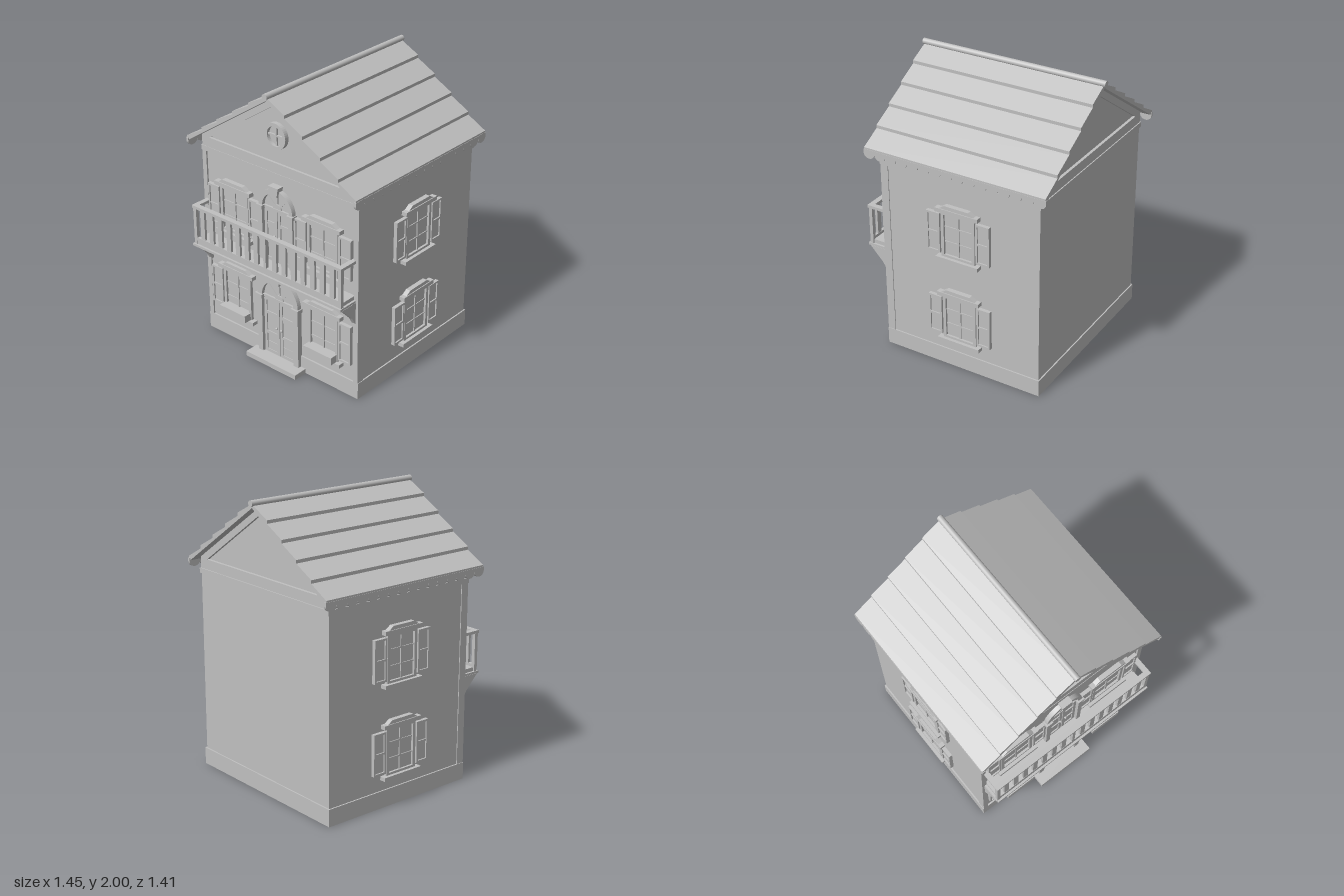
import * as THREE from 'three';

const stone = new THREE.MeshStandardMaterial({ color: 0xc0c0c0 });
stone.name = 'grey';

function add(parent, name, geo, x = 0, y = 0, z = 0) {
  const m = new THREE.Mesh(geo, stone);
  m.name = name;
  m.position.set(x, y, z);
  parent.add(m);
  return m;
}
// Box given by its min/max limits
function box(parent, name, x0, x1, y0, y1, z0, z1) {
  return add(parent, name, new THREE.BoxGeometry(x1 - x0, y1 - y0, z1 - z0),
    (x0 + x1) / 2, (y0 + y1) / 2, (z0 + z1) / 2);
}
const poly = pts => new THREE.Shape(pts.map(p => new THREE.Vector2(...p)));
const extrude = (shape, depth) =>
  new THREE.ExtrudeGeometry(shape, { depth, bevelEnabled: false, curveSegments: 20 });
function group(parent, name, x = 0, y = 0, z = 0, ry = 0) {
  const g = new THREE.Group();
  g.name = name;
  g.position.set(x, y, z);
  g.rotation.y = ry;
  parent.add(g);
  return g;
}
// Rectangular frame made of four bars
function frame(g, name, x0, x1, y0, y1, w, depth) {
  const s = poly([[x0, y0], [x1, y0], [x1, y1], [x0, y1]]);
  s.holes.push(poly([[x0 + w, y0 + w], [x0 + w, y1 - w], [x1 - w, y1 - w], [x1 - w, y0 + w]]));
  add(g, name, extrude(s, depth));
}

// Window facing local +z, origin at the wall, y = 0 at the sill underside
function windowUnit(parent, x, y, z, ry, shutterSides, planter) {
  const g = group(parent, 'window', x, y, z, ry);
  box(g, 'glass', -0.125, 0.125, 0.02, 0.355, -0.01, 0.006);
  frame(g, 'windowFrame', -0.127, 0.127, 0.02, 0.357, 0.022, 0.022);
  box(g, 'mullion', -0.006, 0.006, 0.03, 0.35, 0, 0.014);
  for (const t of [0.135, 0.245]) box(g, 'glazingBar', -0.12, 0.12, t - 0.005, t + 0.005, 0, 0.012);
  box(g, 'sill', -0.16, 0.16, 0, 0.026, -0.01, 0.045);
  box(g, 'lintel', -0.16, 0.16, 0.355, 0.383, -0.01, 0.04);
  add(g, 'windowPediment', extrude(poly([[-0.128, 0.383], [0.128, 0.383], [0.09, 0.408], [-0.09, 0.408]]), 0.034));
  for (const s of shutterSides) {
    const sh = group(g, 'shutter', s * 0.186, 0.046);
    box(sh, 'shutterPanel', -0.05, 0.05, 0, 0.29, -0.01, 0.016);
    frame(sh, 'shutterFrame', -0.051, 0.051, 0, 0.29, 0.014, 0.026);
    box(sh, 'shutterRail', -0.04, 0.04, 0.138, 0.152, 0, 0.025);
  }
  if (planter) {
    box(g, 'planterBox', -0.12, 0.12, 0.026, 0.08, 0, 0.08);
  }
}

// Arched double door; r is the outer arch radius, w the surround width
function doorUnit(parent, y0, spring, r, w, z) {
  const g = group(parent, 'doorway', 0, 0, z);
  const ri = r - w;
  box(g, 'doorBack', -ri, ri, y0, spring, -0.01, 0.006);
  for (const s of [-1, 1]) {
    const leaf = group(g, 'doorLeaf', s * ri / 2);
    const h = ri / 2 - 0.003;
    frame(leaf, 'doorLeafFrame', -h, h, y0, spring - 0.015, 0.022, 0.014);
    for (const t of [0.35, 0.7]) {
      const yy = y0 + (spring - y0) * t;
      box(leaf, 'doorRail', -h, h, yy - 0.011, yy + 0.011, 0, 0.013);
    }
    const px = s * (ri + w / 2);
    box(g, 'doorPilaster', px - w / 2, px + w / 2, y0, spring - 0.01, -0.01, 0.035);
    box(g, 'pilasterCapital', px - w / 2 - 0.012, px + w / 2 + 0.008, spring - 0.022, spring + 0.004, -0.01, 0.045);
    add(g, 'doorKnob', new THREE.SphereGeometry(0.009, 12, 8), s * 0.022, y0 + (spring - y0) * 0.49, 0.022);
  }
  box(g, 'transom', -ri, ri, spring - 0.015, spring + 0.004, 0, 0.02);
  // Fanlight
  add(g, 'fanlight', new THREE.CircleGeometry(ri + 0.01, 32, 0, Math.PI), 0, spring, 0.006);
  add(g, 'fanlightHub', new THREE.CylinderGeometry(0.036, 0.036, 0.014, 24, 1, false, Math.PI / 2, Math.PI)
    .rotateX(Math.PI / 2), 0, spring, 0.008);
  for (let i = 1; i < 4; i++) {
    const bar = add(g, 'fanlightBar', new THREE.BoxGeometry(ri, 0.009, 0.012).translate(ri / 2, 0, 0), 0, spring, 0.006);
    bar.rotation.z = i * Math.PI / 4;
  }
  // Arch and keystone
  const arch = new THREE.Shape();
  arch.absarc(0, spring, r, 0, Math.PI, false);
  arch.absarc(0, spring, ri, Math.PI, 0, true);
  add(g, 'arch', extrude(arch, 0.032));
  add(g, 'keystone', extrude(poly([[-0.03, spring + ri - 0.008], [0.03, spring + ri - 0.008],
    [0.042, spring + r + 0.026], [-0.042, spring + r + 0.026]]), 0.05));
}

function buildRoof(root) {
  // Stepped courses, from eave to ridge
  const right = [[0.724, 1.507], [0.583, 1.583], [0.583, 1.605], [0.44, 1.68], [0.44, 1.702],
    [0.296, 1.778], [0.296, 1.8], [0.152, 1.876], [0.152, 1.898], [0, 1.975]];
  const left = right.slice(0, -1).reverse().map(([x, y]) => [-x, y]);
  const profile = [[0, 1.95], [0.724, 1.468], ...right, ...left, [-0.724, 1.468]];
  add(root, 'roof', extrude(poly(profile), 1.335), 0, 0, -0.692);
  add(root, 'ridgeCap', new THREE.CylinderGeometry(0.021, 0.021, 1.36, 20).rotateX(Math.PI / 2), 0, 1.979, -0.025);

  // Scalloped eave boards
  const n = 16, len = 1.345, r = len / n / 2;
  const s = new THREE.Shape();
  s.moveTo(0, 1.495);
  s.lineTo(0, 1.472);
  for (let i = 0; i < n; i++) s.absellipse((2 * i + 1) * r, 1.472, r, 0.038, Math.PI, 2 * Math.PI, false);
  s.lineTo(len, 1.495);
  for (const x of [0.726, -0.708]) {
    add(root, 'eaveScallops', extrude(s, 0.018), x, 0, -0.697).rotation.y = -Math.PI / 2;
  }

  // Gable walls with raised triangular trim
  const outline = [[-0.672, 1.42], [0.672, 1.42], [0.672, 1.503], [0, 1.95], [-0.672, 1.503]];
  add(root, 'gable', extrude(poly(outline), 1.15), 0, 0, -0.61);
  const trim = poly(outline);
  trim.holes.push(poly([[-0.6, 1.495], [0, 1.9], [0.6, 1.495]]));
  add(root, 'gableTrimFront', extrude(trim, 0.02), 0, 0, 0.537);
  add(root, 'gableTrimBack', extrude(trim, 0.02), 0, 0, -0.63);

  // Round gable window
  const g = group(root, 'roundWindow', 0, 1.687, 0.54);
  add(g, 'roundGlass', new THREE.CircleGeometry(0.08, 40), 0, 0, 0.005);
  const ring = new THREE.Shape();
  ring.absarc(0, 0, 0.09, 0, 2 * Math.PI, false);
  const hole = new THREE.Path();
  hole.absarc(0, 0, 0.067, 0, 2 * Math.PI, true);
  ring.holes.push(hole);
  add(g, 'roundFrame', extrude(ring, 0.03));
  box(g, 'roundBar', -0.07, 0.07, -0.006, 0.006, 0, 0.018);
  box(g, 'roundBar', -0.006, 0.006, -0.07, 0.07, 0, 0.018);
}

function buildBalcony(root) {
  const g = group(root, 'balcony');
  box(g, 'balconyFloor', -0.655, 0.655, 0.728, 0.745, 0.53, 0.705);
  box(g, 'balconyFloorStep', -0.64, 0.64, 0.745, 0.772, 0.53, 0.69);
  box(g, 'topRail', -0.655, 0.655, 1.014, 1.034, 0.66, 0.698);
  box(g, 'bottomRail', -0.63, 0.63, 0.772, 0.792, 0.668, 0.69);
  for (let k = 1; k <= 7; k++) for (const s of [-1, 1]) {
    const x = s * k * 0.0815;
    box(g, 'baluster', x - 0.019, x + 0.019, 0.79, 1.016, 0.67, 0.688);
  }
  box(g, 'middlePost', -0.011, 0.011, 0.772, 1.016, 0.667, 0.692);
  const bracket = poly([[0.54, 0.575], [0.56, 0.575], [0.59, 0.625], [0.69, 0.73], [0.54, 0.73]]);
  for (const s of [-1, 1]) {
    const x = s * 0.637;
    box(g, 'cornerPost', x - 0.013, x + 0.013, 0.745, 1.016, 0.667, 0.692);
    box(g, 'sideRail', x - 0.018, x + 0.018, 1.014, 1.034, 0.54, 0.665);
    add(g, 'bracket', extrude(bracket, 0.03), s * 0.642 + 0.015).rotation.y = -Math.PI / 2;
  }
}

export function createModel() {
  const root = new THREE.Group();
  root.name = 'house';

  // Walls, plinth, corner boards and cornice
  box(root, 'walls', -0.67, 0.67, 0.05, 1.43, -0.628, 0.545);
  box(root, 'plinth', -0.68, 0.68, 0, 0.12, -0.637, 0.557);
  box(root, 'cornice', -0.68, 0.68, 1.39, 1.425, -0.637, 0.56);
  for (const s of [-1, 1]) {
    box(root, 'cornerBoard', s * 0.658 - 0.018, s * 0.658 + 0.018, 0.12, 1.39, 0.5, 0.557);
  }

  buildRoof(root);
  buildBalcony(root);

  // Windows on both floors
  for (const y of [0.197, 0.828]) {
    const upper = y > 0.5;
    for (const s of [-1, 1]) {
      windowUnit(root, s * 0.387, y, 0.545, 0, upper ? [-1, 1] : [s], !upper);
      windowUnit(root, s * 0.67, y, -0.037, s * Math.PI / 2, [-1, 1], false);
    }
  }

  // Doors and entrance step
  doorUnit(root, 0.035, 0.484, 0.183, 0.042, 0.548);
  doorUnit(root, 0.772, 1.168, 0.148, 0.032, 0.548);
  box(root, 'entranceStep', -0.225, 0.225, 0, 0.035, 0.54, 0.662);
  return root;
}
